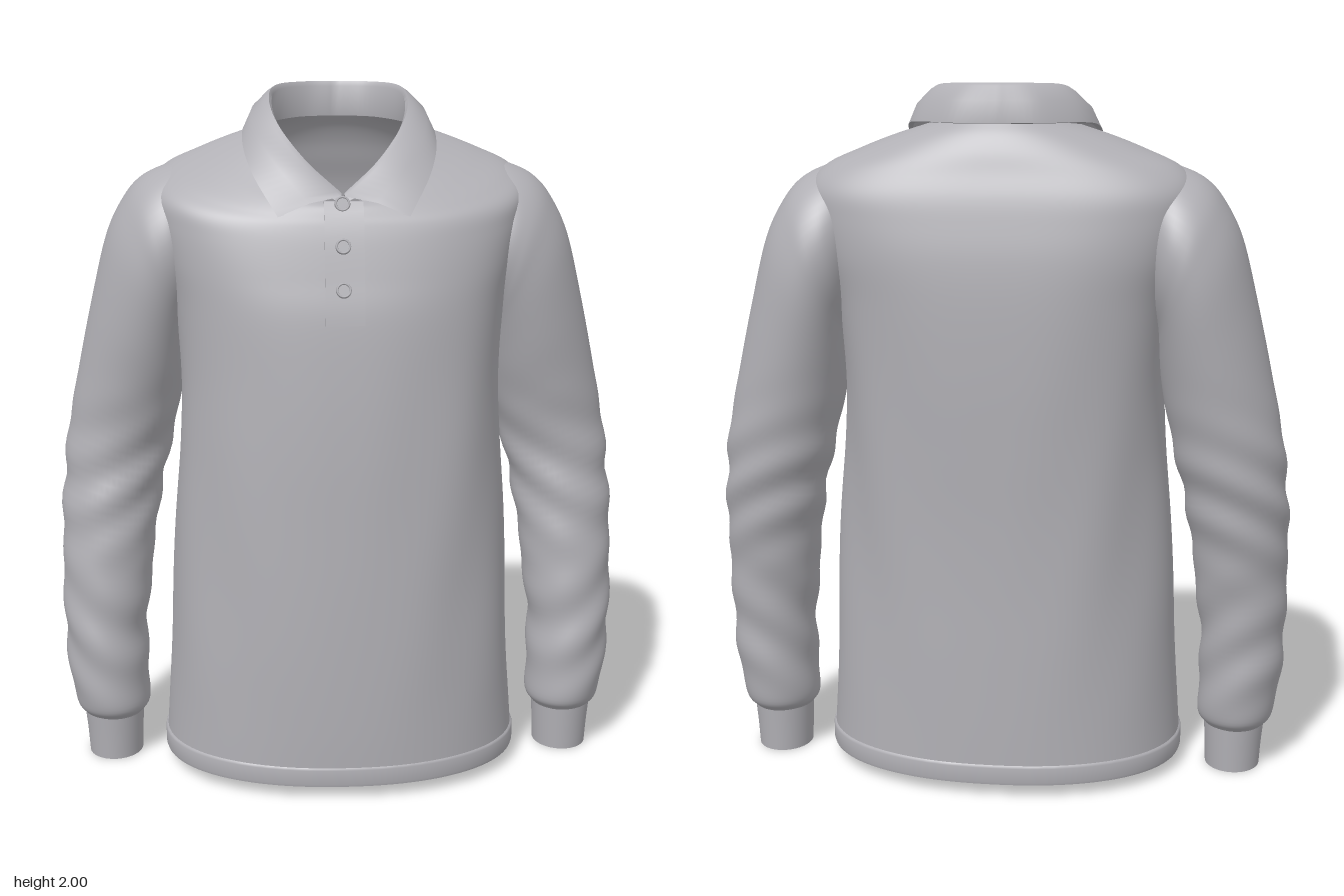
import * as THREE from 'three';
import { toCreasedNormals } from 'three/addons/utils/BufferGeometryUtils.js';

const fabric = new THREE.MeshStandardMaterial({ color: 0xb0afb4, side: THREE.DoubleSide });
fabric.name = 'grey fabric';

// Smooth interpolation through rows of numbers, t from 0 to 1
function rows(list) {
  const times = Float32Array.from(list, (_, i) => i);
  const spline = new THREE.CubicInterpolant(times, Float32Array.from(list.flat()), list[0].length);
  return t => Array.from(spline.evaluate(t * (list.length - 1)));
}

// Surface from point(u, v); u runs around, v along
function loft(point, nu, nv, closed = true, flip = false) {
  const pos = [], index = [], cols = closed ? nu : nu + 1;
  for (let j = 0; j <= nv; j++)
    for (let i = 0; i < cols; i++) pos.push(...point(i / nu, j / nv));
  for (let j = 0; j < nv; j++)
    for (let i = 0; i < nu; i++) {
      const a = j * cols + i, b = j * cols + (i + 1) % cols, c = b + cols, d = a + cols;
      if (flip) index.push(a, c, b, a, d, c);
      else index.push(a, b, c, a, c, d);
    }
  const g = new THREE.BufferGeometry();
  g.setAttribute('position', new THREE.Float32BufferAttribute(pos, 3));
  g.setIndex(index);
  g.computeVertexNormals();
  return g;
}

function mesh(name, geometry) {
  const m = new THREE.Mesh(geometry, fabric);
  m.name = name;
  return m;
}

const spow = (v, p) => Math.sign(v) * Math.abs(v) ** p;
const bump = (y, at, width) => Math.exp(-(((y - at) / width) ** 2));

// Torso rings: front y, side y, back y, half width, front z, back z, middle z,
// roundness of front and back (1 is an ellipse, less is boxier)
const torsoRow = rows([
  [0.05, 0.05, 0.05, 0.525, 0.372, -0.372, 0, 0.92, 0.9],
  [0.2, 0.2, 0.2, 0.515, 0.373, -0.37, 0, 0.92, 0.9],
  [0.4, 0.4, 0.4, 0.5, 0.37, -0.366, 0, 0.9, 0.88],
  [0.6, 0.6, 0.6, 0.49, 0.364, -0.362, 0, 0.9, 0.86],
  [0.8, 0.8, 0.8, 0.48, 0.355, -0.362, 0, 0.88, 0.83],
  [1.0, 1.0, 1.0, 0.468, 0.345, -0.367, 0, 0.86, 0.79],
  [1.2, 1.2, 1.2, 0.462, 0.33, -0.372, -0.01, 0.83, 0.74],
  [1.38, 1.4, 1.4, 0.475, 0.31, -0.372, -0.03, 0.78, 0.68],
  [1.49, 1.54, 1.53, 0.505, 0.285, -0.365, -0.06, 0.74, 0.64],
  [1.58, 1.65, 1.63, 0.53, 0.262, -0.35, -0.08, 0.74, 0.64],
  [1.63, 1.725, 1.7, 0.535, 0.246, -0.335, -0.09, 0.76, 0.66],
  [1.655, 1.778, 1.765, 0.49, 0.235, -0.312, -0.1, 0.82, 0.74],
  [1.675, 1.82, 1.82, 0.4, 0.225, -0.293, -0.09, 0.88, 0.84],
  [1.685, 1.855, 1.865, 0.31, 0.216, -0.27, -0.08, 0.9, 0.9],
  [1.692, 1.885, 1.9, 0.215, 0.204, -0.242, -0.06, 0.9, 0.9],
]);

function torsoPoint(u, v) {
  const [yF, yS, yB, w, zF, zB, zM, pF, pB] = torsoRow(v);
  const a = u * Math.PI * 2, s = Math.sin(a), c = Math.cos(a);
  const y = yS + ((c > 0 ? yF : yB) - yS) * Math.abs(c) ** 1.2;
  // Soft drape folds fading out at hem and shoulders
  const fade = bump(y, 0.75, 0.5) * Math.min(1, y / 0.3);
  const fold = 1 + fade * (0.012 * Math.sin(Math.abs(s) * 11 - y * 5) * Math.abs(s)
    + 0.009 * Math.sin(7 * a + y * 3) * s * s);
  const depth = c > 0 ? zF - zM : zM - zB, p = c > 0 ? pF : pB;
  return [w * spow(s, p) * fold, y, zM + depth * spow(c, p) * fold];
}

// Depth of the chest centre line at a height
function frontZ(y) {
  let lo = 0, hi = 1;
  for (let i = 0; i < 24; i++) {
    const mid = (lo + hi) / 2;
    if (torsoPoint(0, mid)[1] < y) lo = mid; else hi = mid;
  }
  return torsoPoint(0, lo)[2];
}

// Sleeve rings, wrist to shoulder: outer y, inner y, outer x, inner x, front z, back z
const sleeveRow = rows([
  [0.135, 0.135, 0.772, 0.598, 0.072, -0.127],
  [0.175, 0.175, 0.798, 0.577, 0.098, -0.158],
  [0.3, 0.3, 0.818, 0.58, 0.1, -0.172],
  [0.45, 0.43, 0.825, 0.578, 0.092, -0.18],
  [0.62, 0.58, 0.825, 0.56, 0.08, -0.2],
  [0.8, 0.75, 0.82, 0.54, 0.06, -0.235],
  [1.0, 0.92, 0.8, 0.505, 0.045, -0.268],
  [1.2, 1.05, 0.76, 0.475, 0.07, -0.288],
  [1.4, 1.15, 0.715, 0.455, 0.1, -0.305],
  [1.58, 1.22, 0.668, 0.445, 0.12, -0.318],
  [1.685, 1.27, 0.615, 0.44, 0.13, -0.322],
  [1.74, 1.31, 0.565, 0.435, 0.135, -0.32],
  [1.772, 1.36, 0.5, 0.42, 0.128, -0.305],
  [1.785, 1.43, 0.44, 0.4, 0.09, -0.265],
  [1.77, 1.52, 0.38, 0.37, 0.02, -0.19],
]);
const cuffRow = rows([
  [0.005, 0.005, 0.763, 0.603, 0.066, -0.122],
  [0.08, 0.08, 0.768, 0.6, 0.07, -0.125],
  [0.15, 0.15, 0.775, 0.597, 0.074, -0.128],
]);

function armPoint(row, side, wrinkle) {
  return (u, v) => {
    const [yO, yI, xO, xI, zF, zB] = row(v);
    const a = u * Math.PI * 2, c = Math.cos(a), s = -Math.sin(a);
    const y = (yO + yI) / 2 + (yO - yI) / 2 * c;
    // Wrinkles gather at the elbow and above the cuff
    const f = 1 + wrinkle * (bump(y, 0.85, 0.18) * Math.sin(y * 38 + c * 3 + s * 2)
      + 0.9 * bump(y, 0.4, 0.2) * Math.sin(y * 34 - c * 3 + s * 2));
    return [side * ((xO + xI) / 2 + (xO - xI) / 2 * c * f), y, (zF + zB) / 2 + (zF - zB) / 2 * s * f];
  };
}

// Collar guide lines, front centre to back centre of one half
const curve = pts => new THREE.CatmullRomCurve3(pts.map(p => new THREE.Vector3(...p)));
const standLine = curve([[0.004, 1.685, 0.195], [0.1, 1.745, 0.145], [0.18, 1.83, 0.045],
  [0.205, 1.88, -0.06], [0.18, 1.89, -0.15], [0.09, 1.9, -0.215], [0, 1.9, -0.235]]);
const foldLine = curve([[0.004, 1.715, 0.185], [0.1, 1.8, 0.138], [0.178, 1.9, 0.035],
  [0.197, 1.965, -0.06], [0.175, 1.993, -0.14], [0.09, 2, -0.215], [0, 2, -0.235]]);
const leafLine = curve([[0.18, 1.657, 0.243], [0.245, 1.76, 0.135], [0.272, 1.832, 0.03],
  [0.268, 1.882, -0.08], [0.23, 1.895, -0.175], [0.13, 1.895, -0.25], [0, 1.895, -0.27]]);

function collarPoint(u, v) {
  const side = u < 0.5 ? -1 : 1, t = 1 - Math.abs(u * 2 - 1);
  const stand = standLine.getPoint(t), fold = foldLine.getPoint(t), leaf = leafLine.getPoint(t);
  const out = new THREE.Vector3(fold.x, 0, fold.z + 0.03).normalize();
  const shift = (p, d, dy) => p.clone().addScaledVector(out, d).add(new THREE.Vector3(0, dy, 0));
  const middle = fold.clone().lerp(leaf, 0.5);
  const section = [
    stand,
    shift(fold, -0.008, -0.014),
    fold,
    shift(fold, 0.014, -0.008),
    shift(middle, 0.014, 0.006),
    leaf,
    shift(leaf, -0.014, -0.002),
    shift(middle, -0.002, -0.004),
  ];
  const p = section[Math.round(v * (section.length - 1))];
  return [side * p.x, p.y, p.z];
}

export function createModel() {
  const shirt = new THREE.Group();
  shirt.name = 'longSleeveShirt';
  shirt.add(mesh('torso', loft(torsoPoint, 144, 96)));

  // Folded band around the bottom edge, listed from the inner lip up: scale, y
  const hem = [[0.985, 0.047], [1.003, 0.044], [1.008, 0.052], [1.008, 0.094], [1.004, 0.1], [0.994, 0.104]];
  const hemGeometry = loft((u, v) => {
    const [k, y] = hem[Math.round(v * (hem.length - 1))];
    const p = torsoPoint(u, 0.01);
    return [p[0] * k, y, p[2] * k];
  }, 144, hem.length - 1);
  shirt.add(mesh('hem', toCreasedNormals(hemGeometry, 0.7)));

  // Sleeves and cuffs
  for (const side of [1, -1]) {
    const name = side > 0 ? 'left' : 'right';
    shirt.add(mesh(name + 'Sleeve', loft(armPoint(sleeveRow, side, 0.045), 56, 98, true, side < 0)));
    shirt.add(mesh(name + 'Cuff', loft(armPoint(cuffRow, side, 0), 56, 6, true, side < 0)));
  }

  shirt.add(mesh('collar', toCreasedNormals(loft(collarPoint, 80, 7, false), 0.8)));

  // Button placket following the chest
  const placket = new THREE.BoxGeometry(0.108, 0.325, 0.014, 1, 14, 1);
  placket.translate(0, 1.5325, 0);
  const pos = placket.attributes.position;
  for (let i = 0; i < pos.count; i++)
    pos.setZ(i, pos.getZ(i) + frontZ(Math.min(pos.getY(i), 1.69)));
  placket.computeVertexNormals();
  shirt.add(mesh('placket', placket));

  // Buttons with a raised rim
  for (const y of [1.69, 1.58, 1.465]) {
    const button = new THREE.Group();
    button.name = 'button';
    const disc = mesh('buttonDisc', new THREE.CylinderGeometry(0.02, 0.022, 0.01, 24));
    disc.rotation.x = Math.PI / 2;
    const rim = mesh('buttonRim', new THREE.TorusGeometry(0.018, 0.003, 8, 24));
    rim.position.z = 0.005;
    button.add(disc, rim);
    button.position.set(-0.004, y, frontZ(Math.min(y, 1.685)) + 0.01);
    button.rotation.x = -0.25;
    shirt.add(button);
  }
  return shirt;
}
